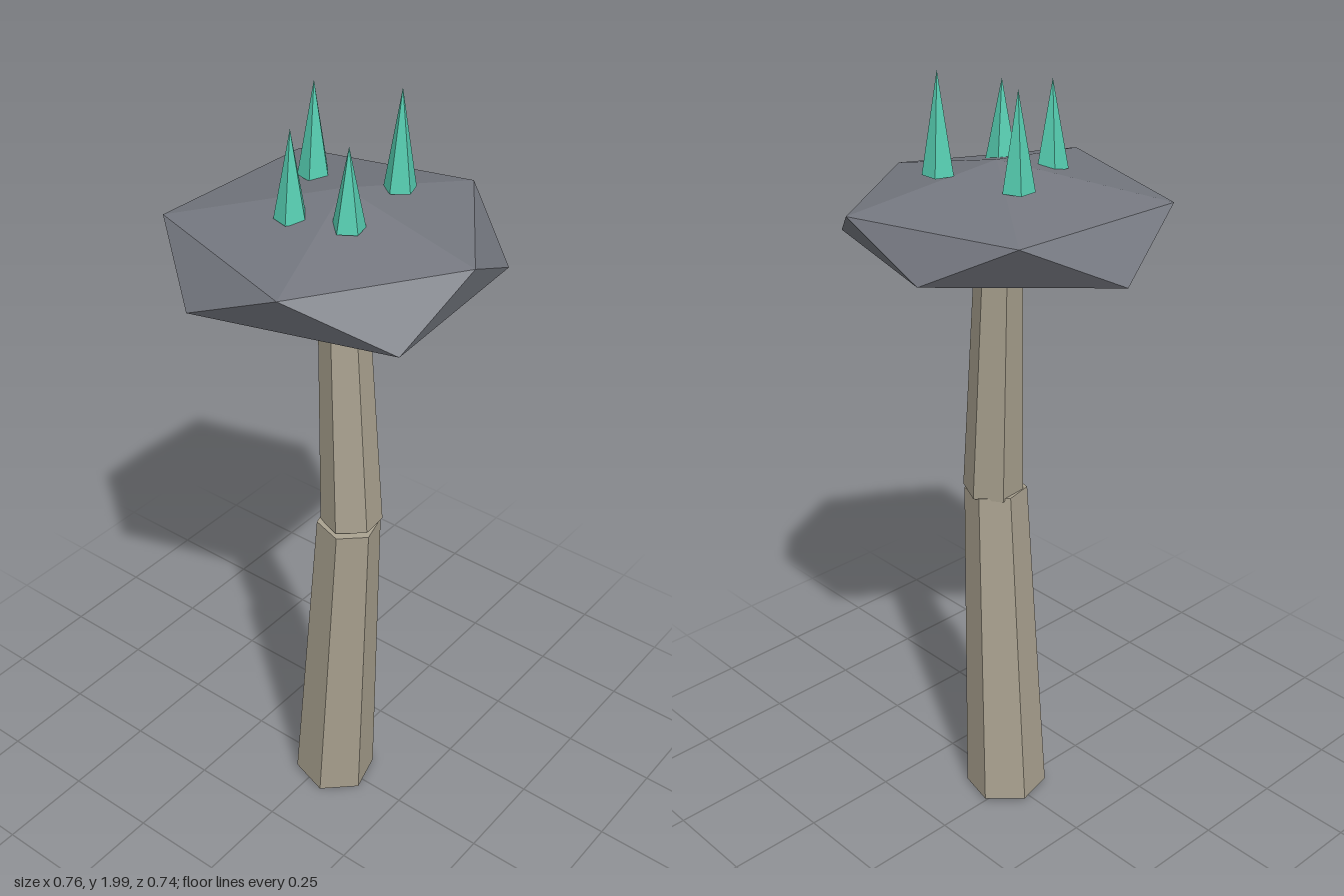
import * as THREE from 'three';

const UP = new THREE.Vector3(0, 1, 0);
const v = (x, y, z) => new THREE.Vector3(x, y, z);

// Faceted post or spike running from one point to another
function taper(name, from, to, r0, r1, sides, spinDeg, material) {
  const axis = to.clone().sub(from);
  const geometry = new THREE.CylinderGeometry(r1, r0, axis.length(), sides);
  geometry.rotateY(THREE.MathUtils.degToRad(spinDeg));
  const mesh = new THREE.Mesh(geometry, material);
  mesh.name = name;
  mesh.position.copy(from).add(to).multiplyScalar(0.5);
  mesh.quaternion.setFromUnitVectors(UP, axis.normalize());
  return mesh;
}

// Squashed twenty-sided rock: two staggered rings of five between two poles
function capGeometry() {
  const top = v(0.03, 1.785, -0.02);
  const bottom = v(-0.02, 1.537, 0.01);
  const upper = [
    v(0.38, 1.70, -0.02), v(0.15, 1.71, 0.36), v(-0.30, 1.71, 0.215),
    v(-0.285, 1.71, -0.25), v(0.14, 1.705, -0.37),
  ];
  const lower = [
    v(0.36, 1.59, 0.22), v(-0.10, 1.597, 0.366), v(-0.384, 1.592, -0.02),
    v(-0.085, 1.60, -0.36), v(0.33, 1.595, -0.24),
  ];
  const points = [];
  for (let i = 0; i < 5; i++) {
    const j = (i + 1) % 5;
    points.push(top, upper[j], upper[i]);
    points.push(upper[i], upper[j], lower[i]);
    points.push(upper[j], lower[j], lower[i]);
    points.push(bottom, lower[i], lower[j]);
  }
  const geometry = new THREE.BufferGeometry().setFromPoints(points);
  geometry.computeVertexNormals();
  return geometry;
}

export function createModel() {
  const group = new THREE.Group();
  group.name = 'crystalMushroom';

  const material = (name, color) => {
    const m = new THREE.MeshStandardMaterial({ color, flatShading: true });
    m.name = name;
    return m;
  };
  const stemTan = material('stem tan', 0xa8a08e);
  const capGrey = material('cap grey', 0x74777f);
  const crystalGreen = material('crystal green', 0x55ccb0);

  // Two bent stem segments
  group.add(
    taper('lowerStem', v(0.025, 0.009, 0), v(0.077, 0.91, 0.015), 0.108, 0.08, 6, 15, stemTan),
    taper('upperStem', v(0.08, 0.912, 0.008), v(0.028, 1.58, -0.016), 0.077, 0.057, 6, 7, stemTan),
  );

  // Cap
  const cap = new THREE.Mesh(capGeometry(), capGrey);
  cap.name = 'cap';
  group.add(cap);

  // Crystal spikes: x, z, base height, tip height, spin
  const spikes = [
    [-0.104, -0.081, 1.755, 1.98, 165],
    [0.097, -0.135, 1.76, 1.995, 0],
    [0.115, 0.076, 1.75, 1.938, -3],
    [-0.014, 0.112, 1.748, 1.955, 164],
  ];
  spikes.forEach(([x, z, y0, y1, spin], i) => {
    group.add(taper(`crystal${i + 1}`, v(x, y0, z), v(x, y1, z), 0.039, 0, 5, spin, crystalGreen));
  });

  return group;
}
